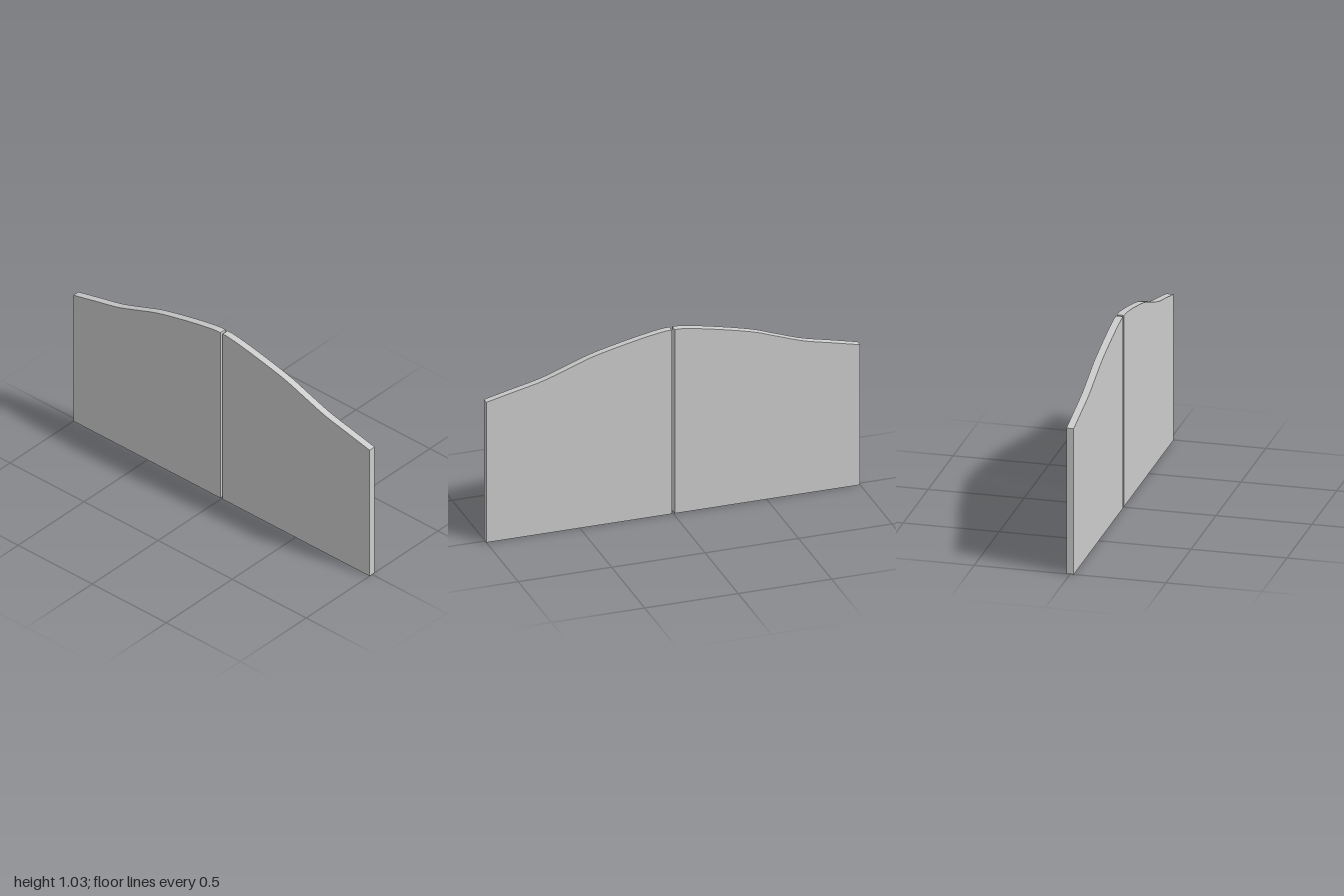
import * as THREE from 'three';

const GAP = 0.008;      // half the slot between the leaves
const THICKNESS = 0.038;

// One gate leaf: straight sides and a swept top edge
function leafGeometry() {
  const shape = new THREE.Shape();
  shape.moveTo(GAP, 0);
  shape.lineTo(1, 0);
  shape.lineTo(1, 0.785);
  shape.splineThru([
    [0.85, 0.82], [0.7, 0.855], [0.56, 0.903], [0.42, 0.951],
    [0.2, 1.002], [0.06, 1.027], [GAP, 1.03],
  ].map(([x, y]) => new THREE.Vector2(x, y)));
  shape.closePath();
  const geometry = new THREE.ExtrudeGeometry(shape, {
    depth: THICKNESS, bevelEnabled: false, curveSegments: 6,
  });
  return geometry.translate(0, 0, -THICKNESS / 2);
}

export function createModel() {
  const model = new THREE.Group();
  model.name = 'doubleGate';
  const material = new THREE.MeshStandardMaterial({ color: 0xcccccc });
  const geometry = leafGeometry();

  // The right leaf is the left one turned about the centre line
  for (const [name, turn] of [['leftLeaf', 0], ['rightLeaf', Math.PI]]) {
    const leaf = new THREE.Mesh(geometry, material);
    leaf.name = name;
    leaf.rotation.y = turn;
    model.add(leaf);
  }
  return model;
}
